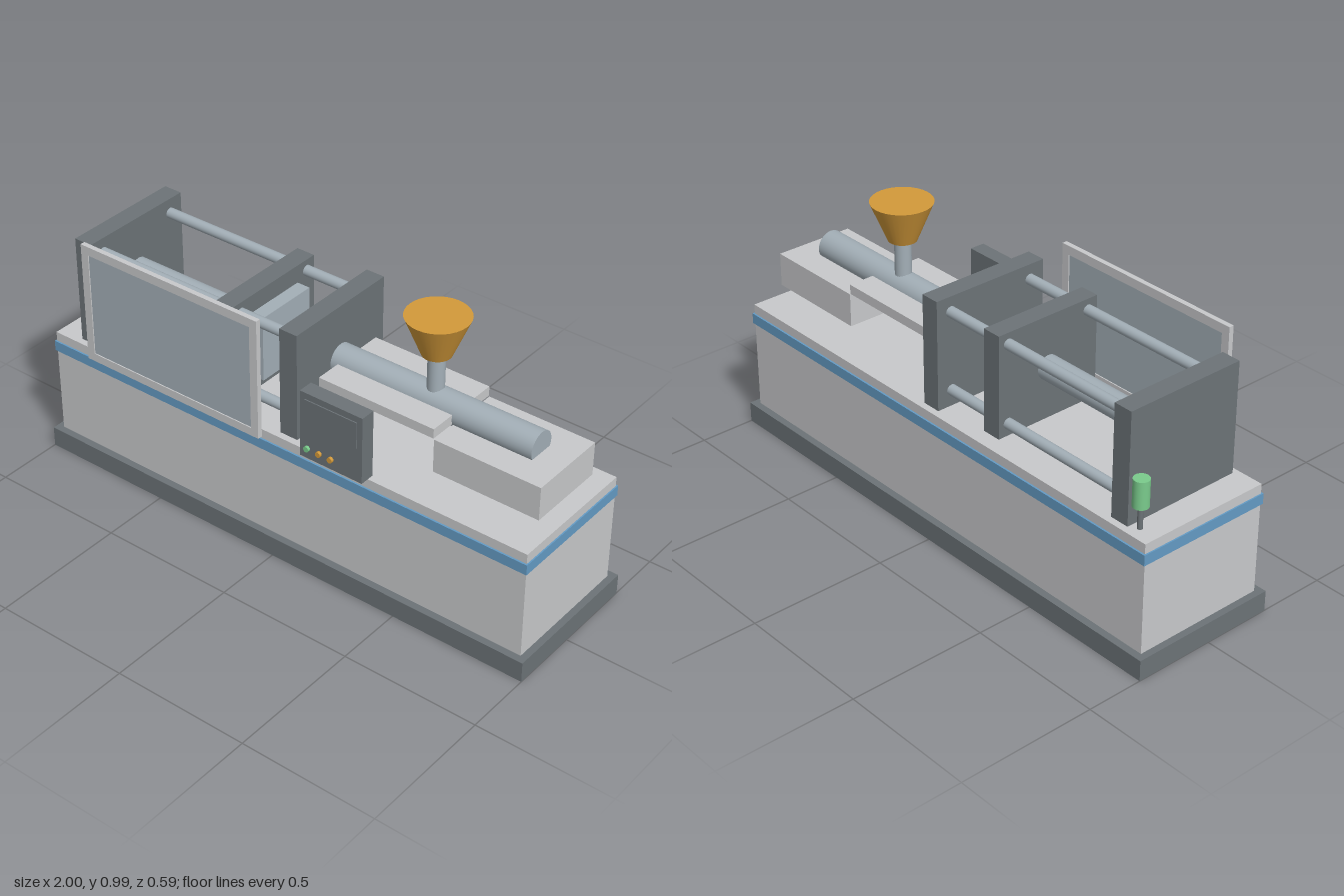
import * as THREE from 'three';

const mat = (name, color) => {
  const m = new THREE.MeshStandardMaterial({ color });
  m.name = name;
  return m;
};

export function createModel() {
  const light = mat('light grey paint', 0xc8c9cb);
  const dark = mat('dark grey paint', 0x6c7377);
  const steel = mat('steel', 0xa3afb7);
  const blue = mat('blue stripe', 0x649bc4);
  const amber = mat('amber', 0xd2993a);
  const green = mat('green', 0x7acb8c);

  const root = new THREE.Group();
  root.name = 'injectionMouldingMachine';
  const C = -0.021; // machine centre line in z
  const AXIS = 0.676; // height of the injection axis

  const add = (name, geo, material, x, y, z, parent = root) => {
    const mesh = new THREE.Mesh(geo, material);
    mesh.name = name;
    mesh.position.set(x, y, z);
    parent.add(mesh);
    return mesh;
  };
  // Box given by its extents on each axis
  const box = (name, material, [x0, x1], [y0, y1], [z0, z1], parent) =>
    add(name, new THREE.BoxGeometry(x1 - x0, y1 - y0, z1 - z0), material,
      (x0 + x1) / 2, (y0 + y1) / 2, (z0 + z1) / 2, parent);
  // Range centred on the machine centre line
  const mid = (width) => [C - width / 2, C + width / 2];
  // Horizontal round bar along x
  const barX = (name, material, r, x0, x1, y, z, parent) =>
    add(name, new THREE.CylinderGeometry(r, r, x1 - x0, 32).rotateZ(Math.PI / 2),
      material, (x0 + x1) / 2, y, z, parent);
  // Upright cylinder or cone
  const post = (name, material, rTop, rBottom, y0, y1, x, z, parent) =>
    add(name, new THREE.CylinderGeometry(rTop, rBottom, y1 - y0, 32), material,
      x, (y0 + y1) / 2, z, parent);
  const group = (name) => {
    const g = new THREE.Group();
    g.name = name;
    root.add(g);
    return g;
  };

  // Machine bed
  const bed = group('bed');
  box('plinth', dark, [-1, 1], [0, 0.075], mid(0.548), bed);
  box('bedBody', light, [-0.975, 0.975], [0.075, 0.475], mid(0.495), bed);
  box('bedStripe', blue, [-0.98, 0.98], [0.402, 0.44], mid(0.508), bed);

  // Clamping unit
  const clamp = group('clampUnit');
  box('rearPlaten', dark, [-0.875, -0.805], [0.476, 0.874], mid(0.448), clamp);
  box('fixedPlaten', dark, [0, 0.07], [0.476, 0.874], mid(0.448), clamp);
  box('movingPlaten', dark, [-0.275, -0.205], [0.49, 0.86], mid(0.412), clamp);
  box('mould', steel, [-0.205, -0.155], [0.555, 0.795], mid(0.24), clamp);
  barX('clampRam', steel, 0.043, -0.81, -0.27, AXIS, C, clamp);
  for (const y of [0.535, 0.82])
    for (const side of [-1, 1])
      barX('tieBar', steel, 0.019, -0.87, 0.065, y, C + side * 0.167, clamp);

  // Injection unit
  const injection = group('injectionUnit');
  box('injectionBase', light, [0.55, 0.945], [0.53, 0.652], mid(0.296), injection);
  box('slidePlate', light, [0.098, 0.548], [0.655, 0.69], mid(0.296), injection);
  barX('barrel', steel, 0.054, 0.07, 0.845, AXIS, C, injection);
  post('hopperNeck', steel, 0.029, 0.029, 0.70, 0.852, 0.446, C, injection);
  post('hopper', amber, 0.108, 0.05, 0.85, 0.99, 0.446, C, injection);

  // Safety guard: glazed frame on the front
  const guard = group('safetyGuard');
  const gz = [0.26, 0.278];
  box('guardGlass', steel, [-0.746, -0.06], [0.508, 0.895], [0.264, 0.274], guard);
  box('guardTopRail', light, [-0.775, -0.03], [0.893, 0.925], gz, guard);
  box('guardBottomRail', light, [-0.775, -0.03], [0.478, 0.508], gz, guard);
  for (const x of [-0.775, -0.06])
    box('guardStile', light, [x, x + 0.03], [0.508, 0.893], gz, guard);

  // Control box with screen and three buttons
  const control = group('controlBox');
  box('controlHousing', dark, [0.15, 0.395], [0.503, 0.75], [0.232, 0.287], control);
  box('controlScreen', dark, [0.17, 0.375], [0.63, 0.727], [0.286, 0.291], control);
  [green, amber, amber].forEach((material, i) => {
    const geo = new THREE.CylinderGeometry(0.01, 0.01, 0.012, 20).rotateX(Math.PI / 2);
    add('controlButton', geo, material, 0.18 + i * 0.047, 0.542, 0.291, control);
  });

  // Signal lamp at the rear corner
  const lamp = group('signalLamp');
  post('lampPole', dark, 0.009, 0.009, 0.475, 0.56, -0.904, -0.222, lamp);
  post('lampHead', green, 0.027, 0.027, 0.555, 0.652, -0.904, -0.222, lamp);

  return root;
}
